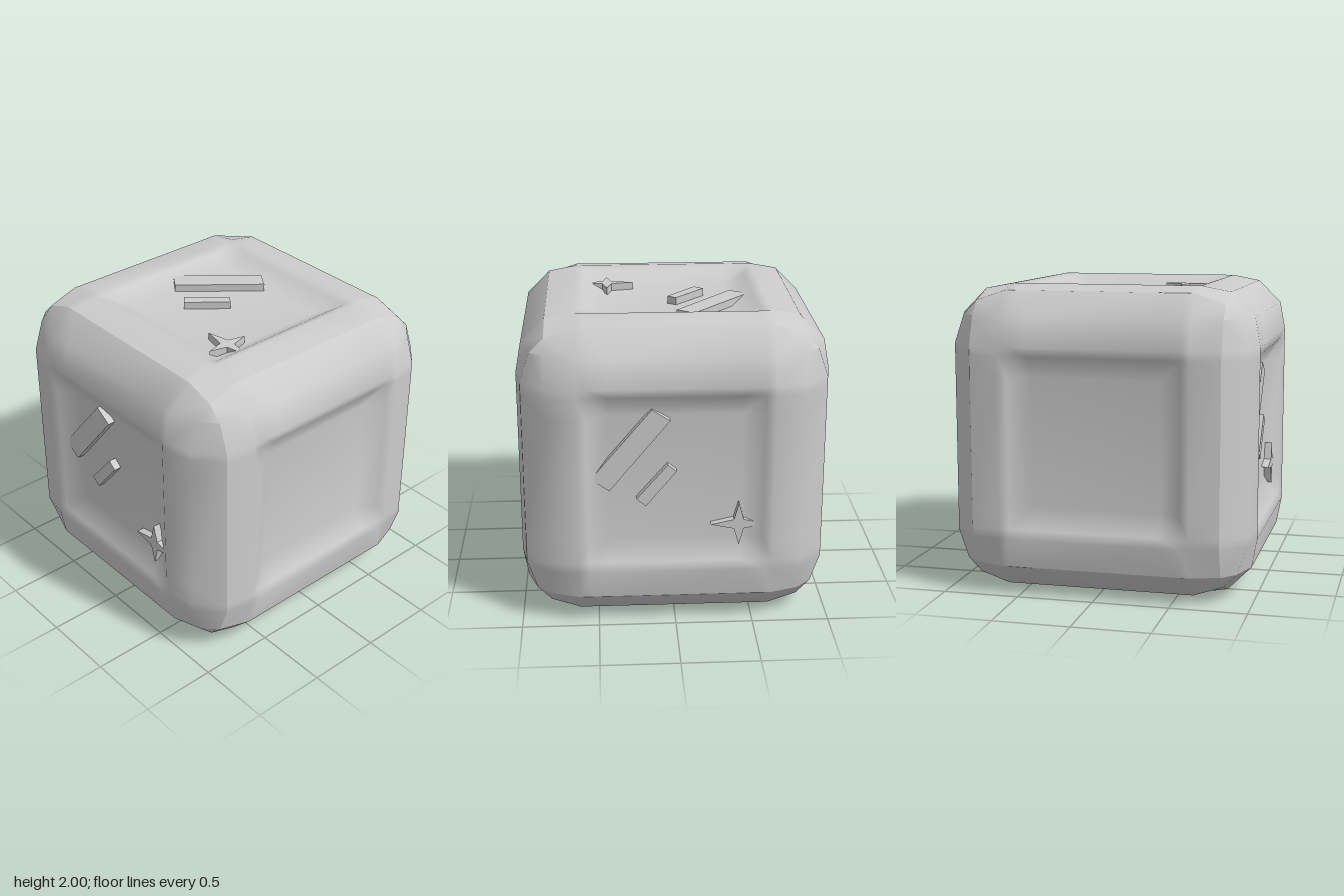
import * as THREE from 'three';

// Levels across one face: recess floor, recess wall top, rim, shoulder, chamfer end
const FLOOR = 0.42, WALL = 0.56, RIM = 0.62, SHOULDER = 0.81, CHAMFER = 2;
const EDGE = 0.965, CORNER = 0.9;

// Position of a grid node on a face looking along +z
function nodeAt(u, v) {
  const a = Math.abs(u), b = Math.abs(v);
  const su = Math.sign(u), sv = Math.sign(v);
  if (a === CHAMFER) {
    return b >= SHOULDER ? [su * CORNER, sv * SHOULDER, SHOULDER] : [su * EDGE, v, SHOULDER];
  }
  if (b === CHAMFER) {
    return a >= SHOULDER ? [su * SHOULDER, sv * CORNER, SHOULDER] : [u, sv * EDGE, SHOULDER];
  }
  if (a === SHOULDER && b === SHOULDER) return [u, v, CORNER];
  const m = Math.max(a, b);
  const z = m === SHOULDER ? EDGE : m === RIM ? 1 : m === WALL ? 0.98 : 0.9;
  return [u, v, z];
}

// One dished face; sideChamfer / top / bottom say which chamfers it wraps over
function faceGeometry({ sides = false, top = false, bottom = false }) {
  const base = [-SHOULDER, -RIM, -WALL, -FLOOR, FLOOR, WALL, RIM, SHOULDER];
  const us = sides ? [-CHAMFER, ...base, CHAMFER] : base;
  const vs = [...(bottom ? [-CHAMFER] : []), ...base, ...(top ? [CHAMFER] : [])];
  const positions = [], index = [];
  for (const v of vs) for (const u of us) positions.push(...nodeAt(u, v));
  const n = us.length;
  for (let j = 0; j < vs.length - 1; j++) {
    for (let i = 0; i < n - 1; i++) {
      const a = j * n + i, b = a + 1, d = a + n, c = d + 1;
      // Split quads along the mitre so corners stay symmetrical
      const mitre = (us[i] + us[i + 1]) * (vs[j] + vs[j + 1]) >= 0;
      if (mitre) index.push(a, b, c, a, c, d);
      else index.push(a, b, d, b, c, d);
    }
  }
  const g = new THREE.BufferGeometry();
  g.setAttribute('position', new THREE.Float32BufferAttribute(positions, 3));
  g.setIndex(index);
  g.computeVertexNormals();
  return g;
}

// Raised flat-topped shape standing on the recess floor
function raised(points) {
  const shape = new THREE.Shape(points.map(([x, y]) => new THREE.Vector2(x, y)));
  const g = new THREE.ExtrudeGeometry(shape, { depth: 0.07, bevelEnabled: false });
  return g.translate(0, 0, 0.88);
}

// Four-pointed star
function starPoints(cx, cy, rx, ry, inner) {
  const pts = [];
  for (let k = 0; k < 8; k++) {
    const t = (k * Math.PI) / 4;
    const odd = k % 2;
    pts.push([cx + Math.cos(t) * (odd ? inner : rx), cy + Math.sin(t) * (odd ? inner : ry)]);
  }
  return pts;
}

export function createModel() {
  const model = new THREE.Group();
  model.name = 'glintBlock';
  const grey = new THREE.MeshStandardMaterial({ color: 0xcccccc });
  grey.name = 'light grey';

  const glints = {
    longGlint: raised([[-0.15, 0.47], [-0.54, 0.01], [-0.42, -0.07], [-0.035, 0.395]]),
    shortGlint: raised([[-0.05, 0.10], [-0.25, -0.13], [-0.19, -0.18], [0.005, 0.055]]),
    starGlint: raised(starPoints(0.405, -0.32, 0.18, 0.145, 0.045)),
  };

  const H = Math.PI / 2;
  const faces = [
    { name: 'front', rot: [0, 0, 0], wrap: { sides: true, top: true }, glint: true },
    { name: 'back', rot: [0, Math.PI, 0], wrap: { sides: true, top: true }, glint: true },
    { name: 'left', rot: [0, H, 0], wrap: { top: true } },
    { name: 'right', rot: [0, -H, 0], wrap: { top: true } },
    { name: 'top', rot: [-H, 0, 0], wrap: {}, glint: true },
    { name: 'bottom', rot: [H, 0, 0], wrap: { sides: true, top: true, bottom: true } },
  ];

  for (const { name, rot, wrap, glint } of faces) {
    const side = new THREE.Group();
    side.name = name + 'Side';
    side.rotation.set(...rot);
    side.position.y = 1;
    const panel = new THREE.Mesh(faceGeometry(wrap), grey);
    panel.name = name + 'Panel';
    side.add(panel);
    // Shine marks on the front, back and top
    if (glint) {
      for (const [part, geometry] of Object.entries(glints)) {
        const mesh = new THREE.Mesh(geometry, grey);
        mesh.name = part;
        side.add(mesh);
      }
    }
    model.add(side);
  }
  return model;
}
